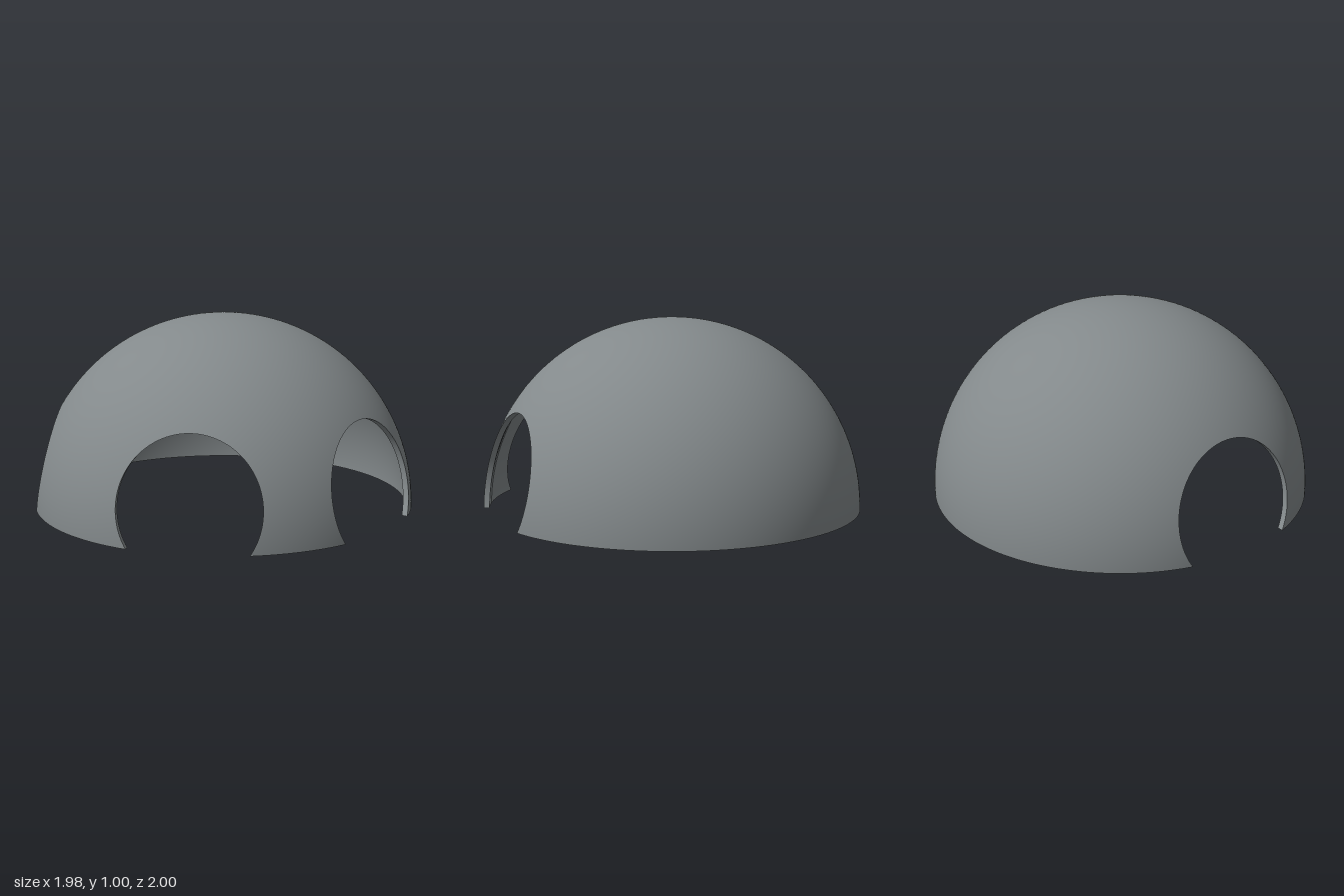
import * as THREE from 'three';
import { mergeGeometries } from 'three/addons/utils/BufferGeometryUtils.js';

const R = 1.003, THICK = 0.03;          // dome radius and wall thickness
const HOLE_R = 0.35, HOLE_Y = 0.19;     // round doorway radius and centre height
const BELT = 42;                        // elevation of the belt holding the doorways
const SIDE = 24, ARC = 2 * SIDE + 52;   // columns on a patch side / around a doorway
const DEG = Math.PI / 180;

// doorway axis and the belt sector (in degrees from +z towards +x) it sits in
const HOLES = [
  { axis: -93.8, from: -120, to: -68 },
  { axis: -11.2, from: -37, to: 15 },
  { axis: 51.2, from: 25, to: 77 },
];

// grid surface from a function of column i and row j
function grid(nu, nv, point, flip = false) {
  const pos = [], index = [];
  for (let j = 0; j <= nv; j++)
    for (let i = 0; i <= nu; i++) pos.push(...point(i, j));
  for (let j = 0; j < nv; j++) {
    for (let i = 0; i < nu; i++) {
      const a = j * (nu + 1) + i, b = a + 1, d = a + nu + 1, c = d + 1;
      if (flip) index.push(a, c, b, a, d, c);
      else index.push(a, b, c, a, c, d);
    }
  }
  const g = new THREE.BufferGeometry();
  g.setAttribute('position', new THREE.Float32BufferAttribute(pos, 3));
  g.setIndex(index);
  g.computeVertexNormals();
  return g;
}

// point on a sphere from azimuth and elevation in degrees
function onSphere(r, az, el) {
  const c = r * Math.cos(el * DEG);
  return [c * Math.sin(az * DEG), r * Math.sin(el * DEG), c * Math.cos(az * DEG)];
}

// azimuth and elevation of the doorway outline on a sphere, k from 0 to 1
function outline(r, hole, k) {
  const low = Math.asin(HOLE_Y / HOLE_R);
  const t = -low + k * (Math.PI + 2 * low);
  const u = HOLE_R * Math.cos(t), y = HOLE_Y + HOLE_R * Math.sin(t);
  const w = Math.sqrt(r * r - u * u - y * y);
  return [hole.axis + Math.atan2(u, w) / DEG, Math.asin(y / r) / DEG];
}

// border of a doorway sector: up one side, across the top, down the other
function border(hole, i) {
  if (i <= SIDE) return [hole.to, BELT * i / SIDE];
  if (i >= ARC - SIDE) return [hole.from, BELT * (ARC - i) / SIDE];
  return [hole.to - (i - SIDE), BELT];
}

// one complete spherical skin, facing out or in
function skin(r, inward) {
  const parts = [];
  // closed cap above the doorways
  parts.push(grid(360, 24, (i, j) =>
    onSphere(r, i - 120, BELT + (90 - BELT) * j / 24), inward));
  HOLES.forEach((hole, n) => {
    // wall around a doorway
    parts.push(grid(ARC, 10, (i, j) => {
      const a = border(hole, i), b = outline(r, hole, i / ARC), k = j / 10;
      return onSphere(r, a[0] + (b[0] - a[0]) * k, a[1] + (b[1] - a[1]) * k);
    }, inward));
    // plain wall up to the next doorway sector
    const end = n < 2 ? HOLES[n + 1].from : HOLES[0].from + 360;
    parts.push(grid(end - hole.to, SIDE, (i, j) =>
      onSphere(r, hole.to + i, BELT * j / SIDE), inward));
  });
  const g = mergeGeometries(parts);
  // exact smooth normals
  const p = g.attributes.position, v = new THREE.Vector3();
  for (let i = 0; i < p.count; i++) {
    v.fromBufferAttribute(p, i).normalize().multiplyScalar(inward ? -1 : 1);
    g.attributes.normal.setXYZ(i, v.x, v.y, v.z);
  }
  return g;
}

export function createModel() {
  const grey = new THREE.MeshStandardMaterial({ color: 0x83898b });
  grey.name = 'grey';
  const group = new THREE.Group();
  group.name = 'dome';
  const add = (name, geometry) => {
    const mesh = new THREE.Mesh(geometry, grey);
    mesh.name = name;
    mesh.position.set(-0.017, 0, 0.003);
    group.add(mesh);
  };
  const Ri = R - THICK;

  add('outerShell', skin(R, false));
  add('innerShell', skin(Ri, true));

  HOLES.forEach((hole, n) => {
    // wall thickness inside the doorway
    add('doorwayRim' + (n + 1), grid(ARC, 1, (i, j) => {
      const r = j ? Ri : R;
      return onSphere(r, ...outline(r, hole, i / ARC));
    }));
    // flat foot of the wall up to the next doorway
    const next = HOLES[(n + 1) % 3], turn = n === 2 ? 360 : 0;
    const steps = n === 2 ? 180 : 48;
    add('baseRim' + (n + 1), grid(steps, 1, (i, j) => {
      const r = j ? R : Ri;
      const a = outline(r, hole, 0)[0], b = outline(r, next, 1)[0] + turn;
      return onSphere(r, a + (b - a) * i / steps, 0);
    }));
  });
  return group;
}
